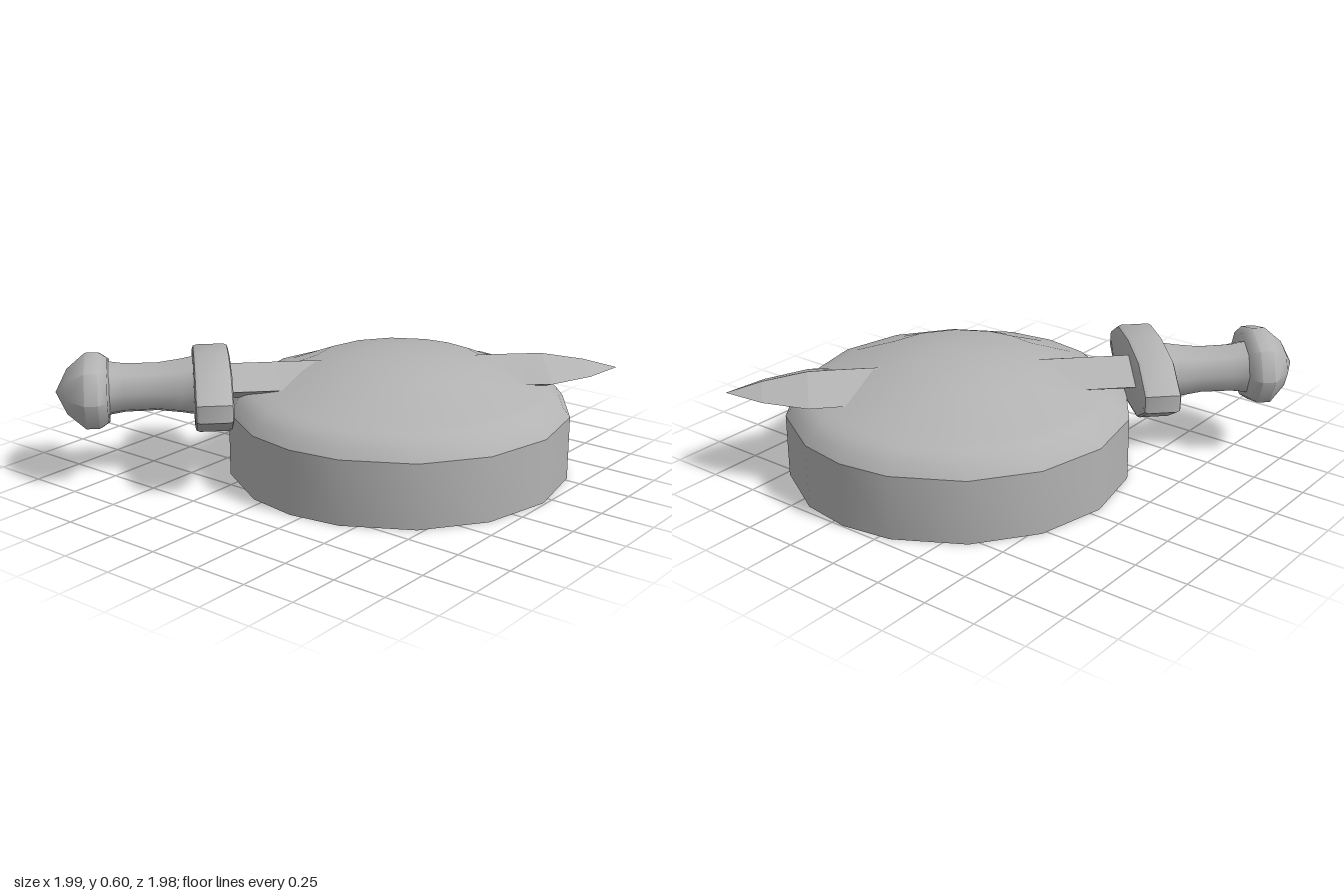
import * as THREE from 'three';
import { toCreasedNormals } from 'three/addons/utils/BufferGeometryUtils.js';

const pts = (list) => list.map(([x, y]) => new THREE.Vector2(x, y));

// Diamond sections joined along +x: [x, half width, half thickness]
function diamondBlade(sections) {
  const rings = sections.map(([x, w, h]) => [[x, h, 0], [x, 0, w], [x, -h, 0], [x, 0, -w]]);
  const pos = [];
  for (let i = 0; i < rings.length - 1; i++) {
    for (let j = 0; j < 4; j++) {
      const k = (j + 1) % 4;
      const a = rings[i][j], b = rings[i][k], c = rings[i + 1][k], d = rings[i + 1][j];
      pos.push(...a, ...b, ...c, ...a, ...c, ...d);
    }
  }
  const g = new THREE.BufferGeometry();
  g.setAttribute('position', new THREE.Float32BufferAttribute(pos, 3));
  g.computeVertexNormals();
  return g;
}

// Sixteen-sided shell whose corners sit a little closer together at the sides
function shellGeometry(profile) {
  const g = new THREE.LatheGeometry(pts(profile), 16);
  const quarter = [0, 24.3, 48, 72.5, 90];
  const p = g.attributes.position;
  const rows = profile.length;
  for (let i = 0; i < p.count; i++) {
    const s = Math.floor(i / rows) % 16;
    const q = Math.floor(s / 4), r = s % 4;
    // mirror the spacing in alternate quarters
    const deg = q * 90 + (q % 2 ? 90 - quarter[4 - r] : quarter[r]);
    const a = THREE.MathUtils.degToRad(deg);
    const radius = profile[i % rows][0];
    p.setXYZ(i, radius * Math.sin(a), p.getY(i), radius * Math.cos(a));
  }
  return toCreasedNormals(g, 0.6);
}

// Turned part lying along x: [radius, x]
function turned(profile, sides) {
  const g = new THREE.LatheGeometry(pts(profile), sides);
  g.rotateZ(-Math.PI / 2);
  return toCreasedNormals(g, 0.95);
}

export function createModel() {
  const grey = new THREE.MeshStandardMaterial({ color: 0xb3b3b3, side: THREE.DoubleSide });
  grey.name = 'grey';
  const model = new THREE.Group();
  const add = (parent, name, geometry, x, y, z) => {
    const m = new THREE.Mesh(geometry, grey);
    m.name = name;
    m.position.set(x, y, z);
    parent.add(m);
    return m;
  };

  // Hollow round base with a rim and a shallow dome, open underneath
  add(model, 'domedBase', shellGeometry([
    [0.8, 0], [0.8, 0.3], [0.765, 0.345], [0.71, 0.392], [0.65, 0.405],
    [0.4, 0.51], [0.2, 0.537], [0, 0.56],
  ]), 0.195, 0, 0.19);

  // Sword laid diagonally through the dome, blade along local +x
  const sword = new THREE.Group();
  sword.name = 'sword';
  sword.position.y = 0.42;
  sword.rotation.y = -Math.PI / 4;
  model.add(sword);

  // Blade, widening slightly before its point
  add(sword, 'blade', diamondBlade([
    [-0.6, 0.18, 0.085], [-0.3, 0.18, 0.085], [0.84, 0.225, 0.085],
    [0.96, 0.23, 0.083], [1.165, 0.135, 0.047], [1.33, 0, 0],
  ]), 0, 0.01, -0.045);

  // Crossguard: rounded plate across the blade
  const bevel = 0.02;
  const half = [[0.41, 0.04], [0.24, 0.135], [0, 0.155], [-0.24, 0.135], [-0.41, 0.04]];
  const outline = [...half, ...half.map(([x, y]) => [-x, -y])];
  const guard = new THREE.ExtrudeGeometry(new THREE.Shape(pts(outline)), {
    depth: 0.17 - 2 * bevel, bevelEnabled: true, bevelSize: bevel,
    bevelOffset: -bevel, bevelThickness: bevel, bevelSegments: 2,
  });
  guard.rotateY(Math.PI / 2);
  add(sword, 'crossguard', toCreasedNormals(guard, 0.7), -0.685 + bevel, 0, 0);

  // Grip flaring at the guard
  add(sword, 'grip', turned([
    [0.13, -1.08], [0.117, -1.0], [0.115, -0.85], [0.13, -0.74], [0.145, -0.66],
  ], 8), 0, 0, -0.03);

  // Pommel, flattened in height
  const pommel = add(sword, 'pommel', turned([
    [0, -1.31], [0.14, -1.255], [0.235, -1.17], [0.235, -1.11], [0.2, -1.07], [0, -1.06],
  ], 8), 0, 0, 0);
  pommel.scale.y = 0.77;

  return model;
}
